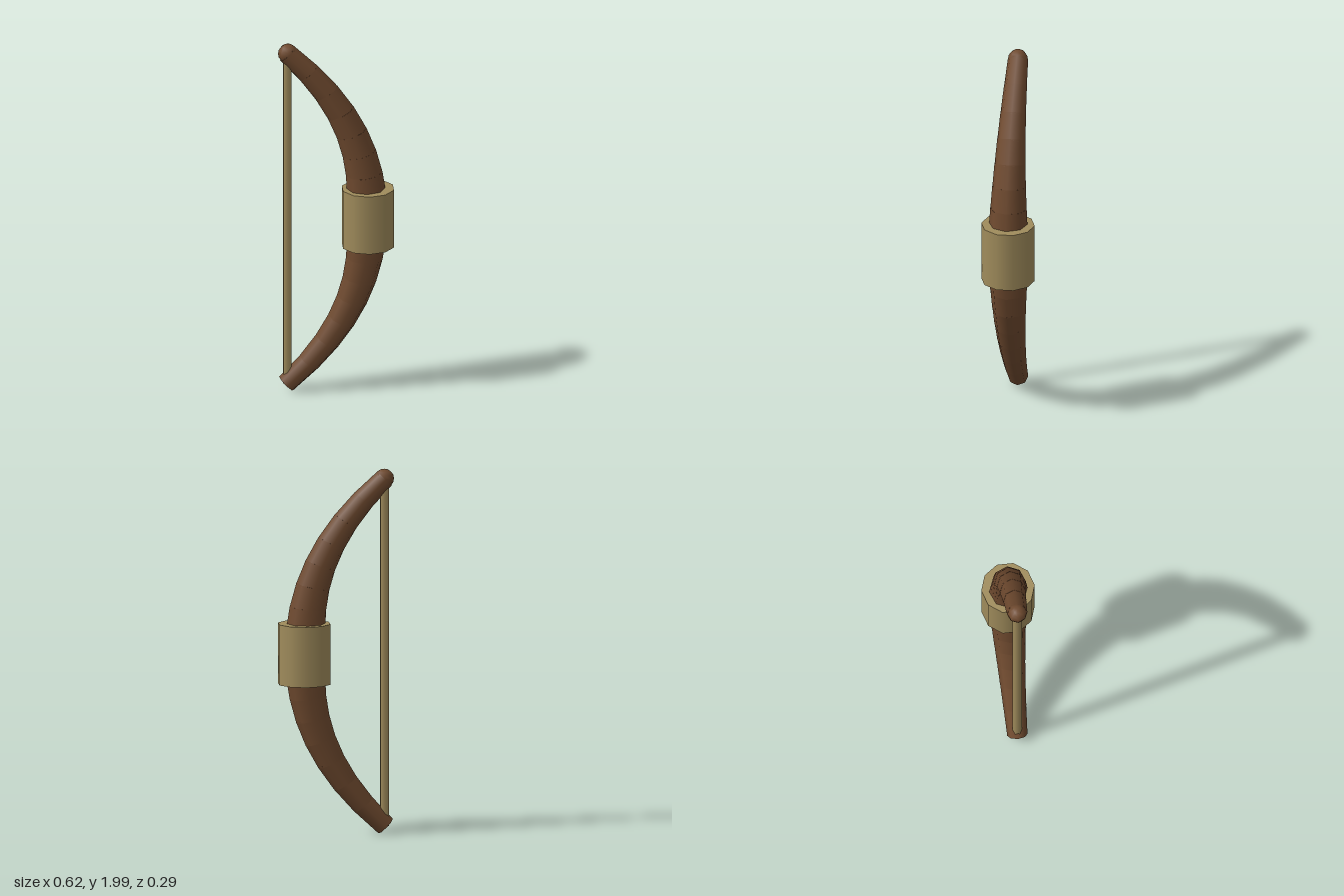
import * as THREE from 'three';

export function createModel() {
  const bow = new THREE.Group();
  bow.name = 'bow';
  const wood = new THREE.MeshStandardMaterial({ color: 0x6f4a2f });
  wood.name = 'brown wood';
  const cord = new THREE.MeshStandardMaterial({ color: 0xa08c5c });
  cord.name = 'tan cord';

  const add = (name, geometry, material, x, y) => {
    const mesh = new THREE.Mesh(geometry, material);
    mesh.name = name;
    mesh.position.set(x, y, 0);
    bow.add(mesh);
    return mesh;
  };

  // Limb curve: t runs from -1 (bottom tip) to 1 (top tip)
  const point = (t) => new THREE.Vector3(0.17 - 0.432 * Math.abs(t) ** 2.4, 1 + 0.947 * t, 0);
  const radius = (t) => 0.114 - 0.059 * Math.abs(t);
  const up = new THREE.Vector3(0, 1, 0);

  // Limb: straight tapered segments that overlap a little at the joints
  const count = 16;
  for (let i = 0; i < count; i++) {
    const t0 = -1 + (2 * i) / count;
    const t1 = -1 + (2 * (i + 1)) / count;
    const a = point(t0);
    const b = point(t1);
    const dir = b.clone().sub(a).normalize();
    a.addScaledVector(dir, -0.008);
    b.addScaledVector(dir, i === count - 1 ? 0 : 0.008);
    const mid = a.clone().add(b).multiplyScalar(0.5);
    const segment = add('limbSegment' + (i + 1),
      new THREE.CylinderGeometry(radius(t1), radius(t0), a.distanceTo(b), 8), wood, mid.x, mid.y);
    segment.quaternion.setFromUnitVectors(up, dir);
  }

  // Rounded knob on the top tip
  add('topTip', new THREE.SphereGeometry(0.054, 8, 8), wood, -0.259, 1.946);

  // Grip wrapped round the middle
  add('grip', new THREE.CylinderGeometry(0.145, 0.145, 0.33, 10), cord, 0.174, 0.996);

  // Bowstring
  add('string', new THREE.CylinderGeometry(0.026, 0.026, 1.9, 6), cord, -0.262, 1);

  return bow;
}
